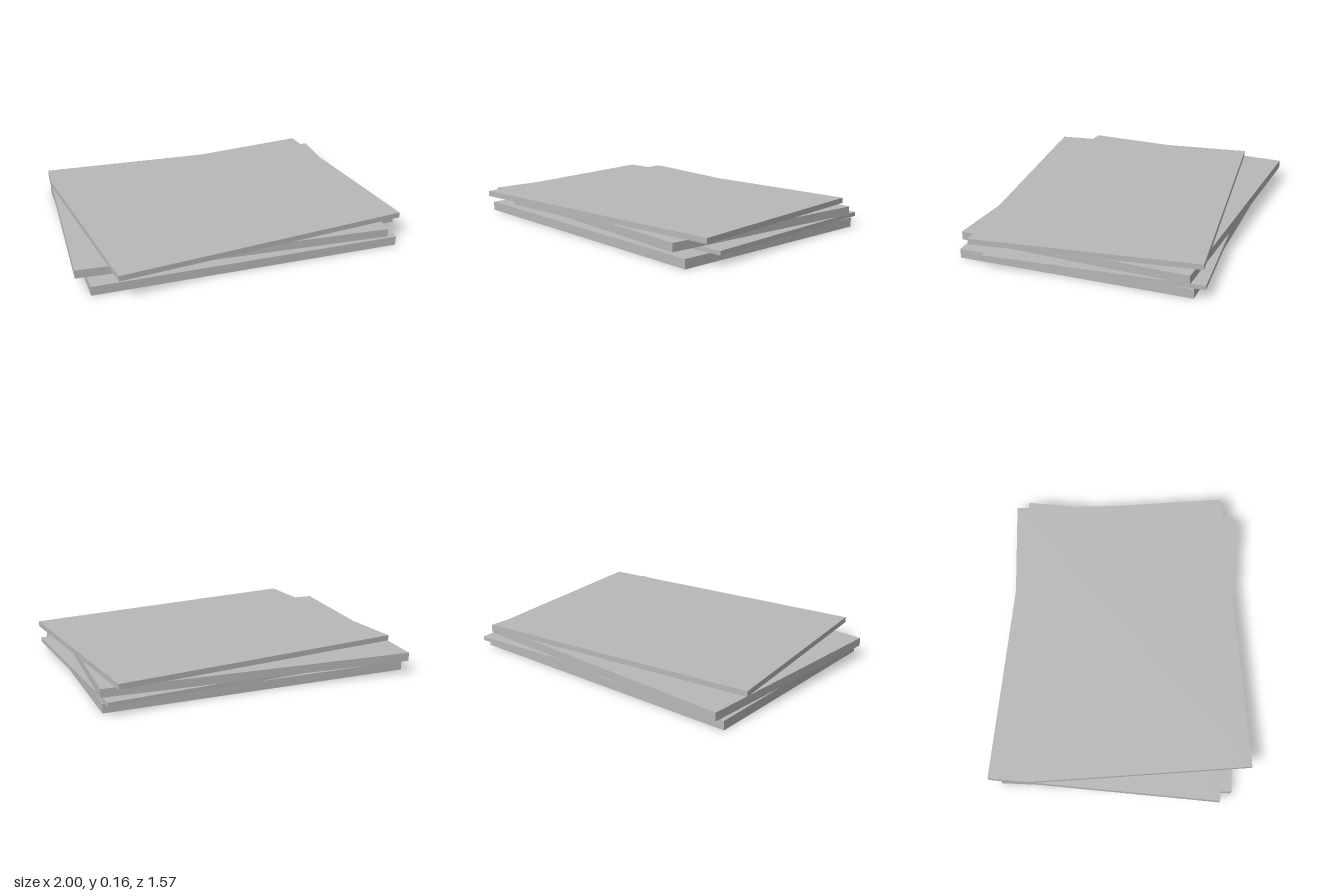
import * as THREE from 'three';

// Four loosely stacked slabs: [name, width, depth, y0, y1, x, z, turn]
const SLABS = [
  ['bottomSlab', 1.855, 1.385, 0, 0.055, -0.002, -0.022, 0],
  ['thinSlab', 1.774, 1.268, 0.055, 0.08, 0.07, -0.08, 0.0695],
  ['thickSlab', 1.858, 1.387, 0.08, 0.13, -0.037, -0.047, -0.0525],
  ['topSlab', 1.797, 1.328, 0.13, 0.163, 0.022, 0.022, 0.1143],
];

export function createModel() {
  const grey = new THREE.MeshStandardMaterial({ color: 0xb8b8b8, side: THREE.DoubleSide });
  grey.name = 'grey';
  const group = new THREE.Group();
  group.name = 'slabStack';

  for (const [name, w, d, y0, y1, x, z, turn] of SLABS) {
    const geometry = new THREE.BoxGeometry(w, y1 - y0, d);
    // The lowest slab is a shell without an underside
    if (y0 === 0) {
      const index = Array.from(geometry.index.array);
      index.splice(18, 6);
      geometry.setIndex(index);
      geometry.clearGroups();
    }
    const slab = new THREE.Mesh(geometry, grey);
    slab.name = name;
    slab.position.set(x, (y0 + y1) / 2, z);
    slab.rotation.y = turn;
    group.add(slab);
  }
  return group;
}
